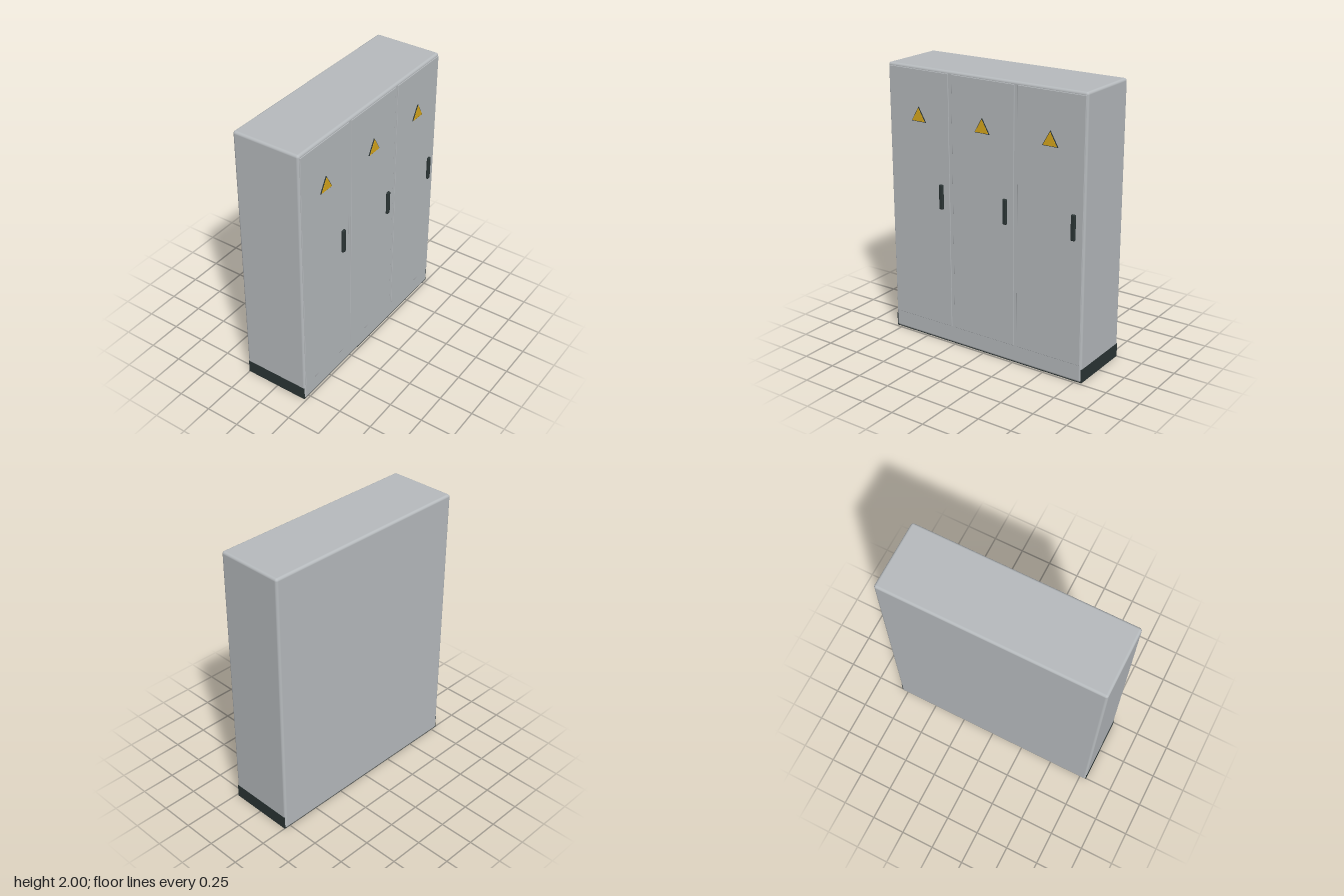
import * as THREE from 'three';
import { RoundedBoxGeometry } from 'three/addons/geometries/RoundedBoxGeometry.js';

function flat(name, color) {
  const m = new THREE.MeshStandardMaterial({ color });
  m.name = name;
  return m;
}

// Upright triangle plate, centred on x, standing on y = 0
function triangle(width, height, depth) {
  const s = new THREE.Shape();
  s.moveTo(-width / 2, 0);
  s.lineTo(width / 2, 0);
  s.lineTo(0, height);
  s.closePath();
  return new THREE.ExtrudeGeometry(s, { depth, bevelEnabled: false });
}

export function createModel() {
  const grey = flat('cabinetGrey', 0xb7bbbe);
  const dark = flat('darkTrim', 0x2b3535);
  const yellow = flat('warningYellow', 0xd9a81c);

  const model = new THREE.Group();
  model.name = 'cabinet';
  const add = (parent, name, geometry, material, x, y, z) => {
    const mesh = new THREE.Mesh(geometry, material);
    mesh.name = name;
    mesh.position.set(x, y, z);
    parent.add(mesh);
  };

  // Cabinet shell and its dark plinth, a hair wider than the shell
  add(model, 'body', new RoundedBoxGeometry(1.596, 1.998, 0.5, 4, 0.018), grey, 0, 1.001, -0.01);
  add(model, 'plinth', new THREE.BoxGeometry(1.6, 0.1, 0.486), dark, 0, 0.05, -0.009);

  // Three equal doors, each with a warning sign and a handle
  const doorGeo = new RoundedBoxGeometry(0.507, 1.85, 0.016, 2, 0.003);
  const borderGeo = triangle(0.12, 0.104, 0.008);
  const signGeo = triangle(0.106, 0.092, 0.006);
  const handleGeo = new RoundedBoxGeometry(0.032, 0.18, 0.03, 3, 0.008);
  ['right', 'middle', 'left'].forEach((side, i) => {
    const unit = new THREE.Group();
    unit.name = side + 'DoorUnit';
    unit.position.x = (i - 1) * 0.533;
    add(unit, 'door', doorGeo, grey, 0, 1.055, 0.236);
    add(unit, 'signBorder', borderGeo, dark, 0, 1.617, 0.242);
    add(unit, 'warningSign', signGeo, yellow, 0, 1.621, 0.247);
    add(unit, 'handle', handleGeo, dark, 0.185, 1.105, 0.245);
    model.add(unit);
  });
  return model;
}
